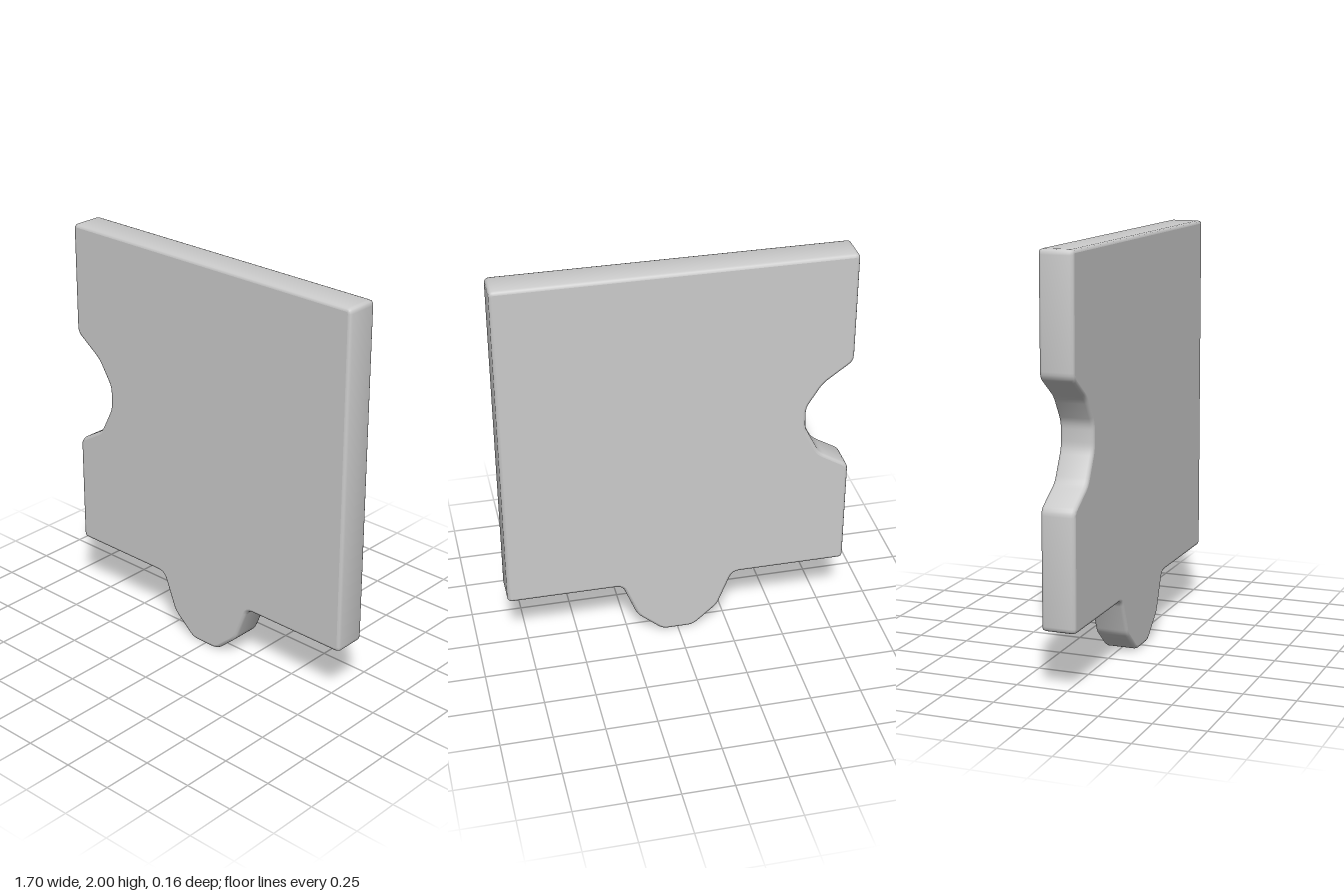
import * as THREE from 'three';
import { toCreasedNormals } from 'three/addons/utils/BufferGeometryUtils.js';

const HALF_DEPTH = 0.082;
const BEVEL = 0.016;

// Closed outline whose corners are softened by a short curve
function roundedOutline(corners) {
  const shape = new THREE.Shape();
  corners.forEach(([x, y, r], i) => {
    const at = new THREE.Vector2(x, y);
    const prev = new THREE.Vector2(...corners.at(i - 1));
    const next = new THREE.Vector2(...corners[(i + 1) % corners.length]);
    const a = prev.sub(at).setLength(r).add(at);
    const b = next.sub(at).setLength(r).add(at);
    if (i === 0) shape.moveTo(a.x, a.y);
    else shape.lineTo(a.x, a.y);
    shape.quadraticCurveTo(x, y, b.x, b.y);
  });
  shape.closePath();
  return shape;
}

// Keep the broad front and back faces perfectly flat in shading
function flattenCaps(geometry) {
  const { position, normal } = geometry.attributes;
  for (let i = 0; i < position.count; i += 3) {
    const z = [0, 1, 2].map((k) => position.getZ(i + k));
    if (z.every((v) => Math.abs(Math.abs(v) - HALF_DEPTH) < 1e-4)) {
      for (let k = 0; k < 3; k++) normal.setXYZ(i + k, 0, 0, Math.sign(z[0]));
    }
  }
}

export function createModel() {
  const model = new THREE.Group();
  model.name = 'puzzlePiece';

  const outline = roundedOutline([
    // bottom edge with the tab
    [-0.85, 0.3, 0.025],
    [-0.28, 0.3, 0.035],
    [-0.205, 0.11, 0.025],
    [-0.08, 0, 0.03],
    [0.08, 0, 0.03],
    [0.205, 0.11, 0.025],
    [0.28, 0.3, 0.035],
    // right and top edges
    [0.85, 0.3, 0.025],
    [0.85, 2, 0.025],
    [-0.85, 2, 0.025],
    // side edge with the notch
    [-0.85, 1.44, 0.03],
    [-0.705, 1.335, 0.03],
    [-0.626, 1.21, 0.03],
    [-0.626, 1.095, 0.03],
    [-0.7, 0.95, 0.03],
    [-0.85, 0.86, 0.03],
  ]);

  const extruded = new THREE.ExtrudeGeometry(outline, {
    depth: 2 * (HALF_DEPTH - BEVEL),
    bevelThickness: BEVEL,
    bevelSize: BEVEL,
    bevelOffset: -BEVEL,
    bevelSegments: 2,
    curveSegments: 4,
  });
  extruded.translate(0, 0, BEVEL - HALF_DEPTH);
  const geometry = toCreasedNormals(extruded, 0.85);
  flattenCaps(geometry);

  const plate = new THREE.Mesh(geometry, new THREE.MeshStandardMaterial({ color: 0xcccccc }));
  plate.name = 'plate';
  model.add(plate);
  return model;
}
